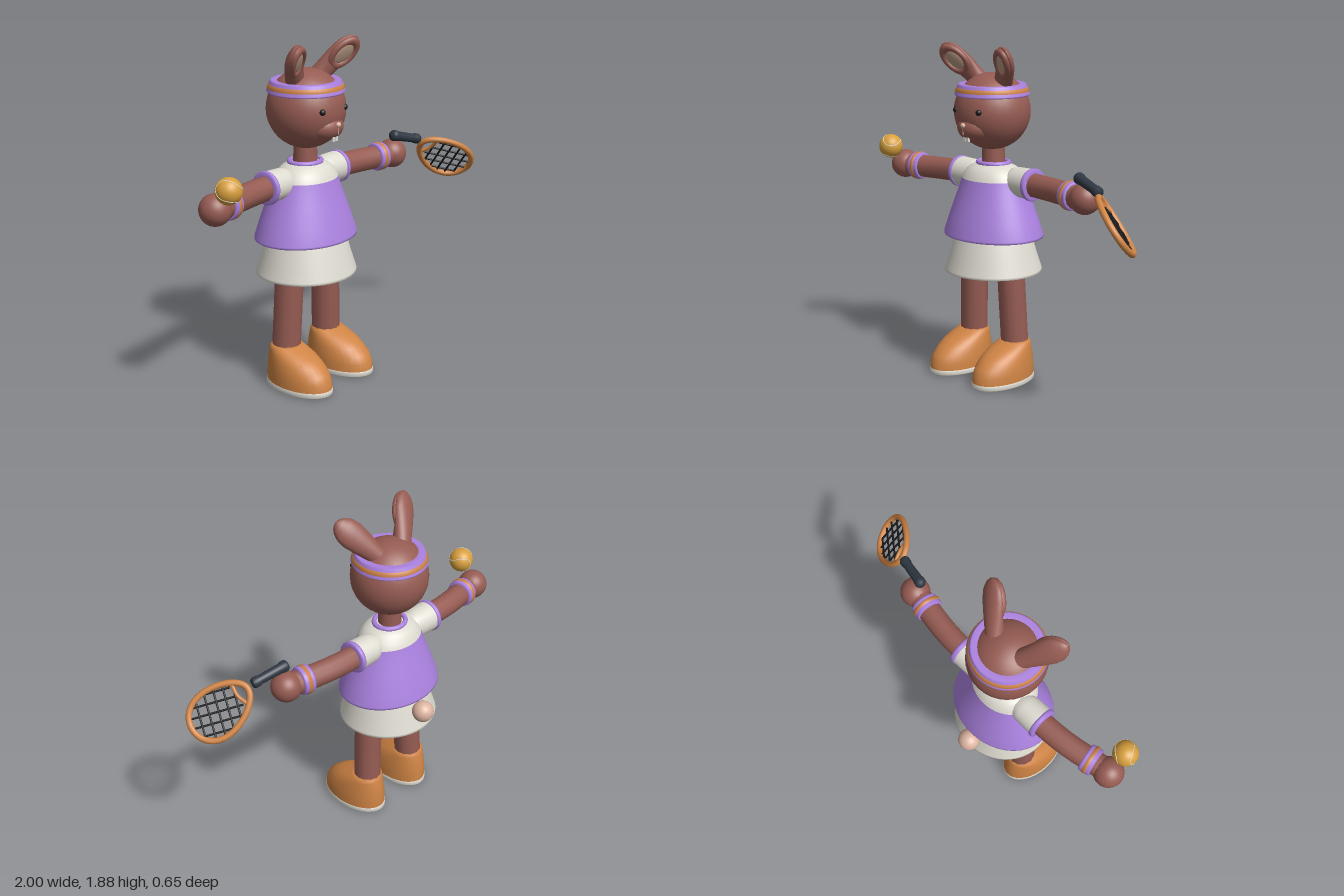
import * as THREE from 'three';

const V = (x, y, z) => new THREE.Vector3(x, y, z);
const mat = (name, color) => new THREE.MeshStandardMaterial({ name, color, side: THREE.DoubleSide });

export function createModel() {
  const brown = mat('brown fur', 0x965c53), purple = mat('purple cloth', 0xab82e0);
  const orange = mat('orange', 0xcf8445), white = mat('off white cloth', 0xdedbd1);
  const gold = mat('gold felt', 0xd8a03e), pink = mat('pale pink', 0xdcb5a1);
  const tan = mat('ear tan', 0xb89a82), slate = mat('slate grip', 0x2f3843), black = mat('black', 0x1b1b1d);

  const root = new THREE.Group();
  root.name = 'rabbitTennisPlayer';
  const body = new THREE.Group(); // the figure stands left of the middle
  body.name = 'rabbit';
  body.position.x = -0.2;
  root.add(body);

  const add = (parent, name, geo, m, p = [0, 0, 0], scale = [1, 1, 1]) => {
    const mesh = new THREE.Mesh(geo, m);
    mesh.name = name;
    mesh.position.set(...p);
    mesh.scale.set(...scale);
    parent.add(mesh);
    return mesh;
  };
  const group = (parent, name) => {
    const g = new THREE.Group();
    g.name = name;
    parent.add(g);
    return g;
  };
  const lathe = (pts) => new THREE.LatheGeometry(pts.map(([r, y]) => new THREE.Vector2(r, y)), 48);
  const ball = (r) => new THREE.SphereGeometry(r, 32, 20);
  const tube = (pts, r, closed = false, n = 48) =>
    new THREE.TubeGeometry(new THREE.CatmullRomCurve3(pts, closed), n, r, 12, closed);

  // Skin over a row of rings: [centre, axis a, axis b, optional axis b for the far half]
  const loft = (rings, n = 32) => {
    const pos = [], idx = [];
    rings.forEach(([c, a, b, b2 = b], i) => {
      for (let j = 0; j < n; j++) {
        const t = (j / n) * Math.PI * 2, s = Math.sin(t);
        pos.push(...c.clone().addScaledVector(a, Math.cos(t)).addScaledVector(s < 0 ? b2 : b, s).toArray());
        if (i) {
          const k = (j + 1) % n, p = (i - 1) * n, q = i * n;
          idx.push(p + j, q + j, p + k, p + k, q + j, q + k);
        }
      }
    });
    const g = new THREE.BufferGeometry();
    g.setAttribute('position', new THREE.Float32BufferAttribute(pos, 3));
    g.setIndex(idx);
    g.computeVertexNormals();
    return g;
  };

  // Shirt, yoke, collar and skirt
  const oval = [1, 1, 0.83];
  add(body, 'shirt', lathe([[0.285, 0.82], [0.295, 0.808], [0.305, 0.81], [0.305, 0.822], [0.278, 0.9],
    [0.24, 1.0], [0.208, 1.08], [0.192, 1.13]]), purple, [0, 0, 0.005], oval);
  add(body, 'yoke', lathe([[0.192, 1.13], [0.175, 1.165], [0.145, 1.195], [0.1, 1.215], [0.05, 1.22]]),
    white, [0, 0, 0.005], oval);
  const collar = add(body, 'collar', new THREE.TorusGeometry(0.09, 0.014, 12, 40), purple, [0, 1.217, 0.003], [1, 0.9, 1]);
  collar.rotation.x = Math.PI / 2;
  add(body, 'skirt', lathe([[0.262, 0.615], [0.272, 0.605], [0.282, 0.607], [0.28, 0.62], [0.25, 0.71],
    [0.222, 0.81], [0.2, 0.86], [0, 0.86]]), white, [0, 0, 0.007], [1, 1, 0.95]);
  add(body, 'tail', ball(0.061), pink, [0, 0.74, -0.267]);

  // Head and face
  add(body, 'neck', new THREE.CylinderGeometry(0.062, 0.066, 0.16, 32), brown, [0, 1.26, 0.003]);
  add(body, 'head', ball(0.212), brown, [0, 1.505, 0.01]);
  add(body, 'muzzle', ball(1), brown, [0, 1.425, 0.13], [0.11, 0.078, 0.1]);
  add(body, 'nose', ball(1), pink, [0, 1.445, 0.229], [0.016, 0.014, 0.012]);
  add(body, 'lipLine', new THREE.BoxGeometry(0.004, 0.04, 0.006), pink, [0, 1.415, 0.229]);
  add(body, 'headband', lathe([[0.175, 1.595], [0.203, 1.593], [0.208, 1.601], [0.189, 1.65],
    [0.182, 1.658], [0.14, 1.653]]), purple, [0, 0, 0.01]);
  add(body, 'headbandStripe', lathe([[0.198, 1.615], [0.205, 1.616], [0.197, 1.637], [0.19, 1.638]]), orange, [0, 0, 0.01]);

  for (const s of [-1, 1]) {
    const side = s > 0 ? 'left' : 'right';
    add(body, side + 'Eye', ball(0.017), black, [s * 0.09, 1.52, 0.196]);
    add(body, side + 'Tooth', new THREE.BoxGeometry(0.019, 0.026, 0.012), white, [s * 0.011, 1.368, 0.204]);

    // Ear: leans out and forward, with a rimmed pale inside
    const ear = group(body, side + 'Ear');
    const base = V(s * 0.08, 1.65, 0), span = V(s * 0.17, 0.212, 0.155), dir = span.clone().normalize();
    const front = V(0, 0, 1).addScaledVector(dir, -dir.z).normalize();
    const wide = dir.clone().cross(front);
    add(ear, 'earShell', loft([[0, 0.052, 0.048], [0.2, 0.056, 0.047], [0.45, 0.068, 0.046], [0.65, 0.074, 0.042],
      [0.8, 0.068, 0.036], [0.92, 0.046, 0.024], [0.98, 0.022, 0.012], [1, 0, 0]].map(([t, w, d]) =>
      [base.clone().addScaledVector(span, t), wide.clone().multiplyScalar(w),
        front.clone().multiplyScalar(d * (t < 0.3 ? 1 : 0.5)), front.clone().multiplyScalar(d)])), brown);
    const inside = group(ear, 'earInside');
    inside.position.copy(base).addScaledVector(span, 0.64).addScaledVector(front, 0.015);
    inside.quaternion.setFromRotationMatrix(new THREE.Matrix4().makeBasis(wide, dir, front));
    if (wide.clone().cross(dir).dot(front) < 0)
      inside.quaternion.setFromRotationMatrix(new THREE.Matrix4().makeBasis(wide.clone().negate(), dir, front));
    add(inside, 'earRim', new THREE.TorusGeometry(1, 0.3, 12, 40), brown, [0, 0, 0], [0.056, 0.083, 0.06]);
    add(inside, 'earLining', ball(1), tan, [0, 0, 0.003], [0.046, 0.072, 0.012]);

    // Arm, sleeve, wristband and hand
    const arm = group(body, side + 'Arm');
    add(arm, 'armTube', tube([V(s * 0.12, 1.13, -0.015), V(s * 0.3, 1.125, -0.015), V(s * 0.45, 1.122, -0.005),
      V(s * 0.6, 1.12, 0.02), V(s * 0.7, 1.12, 0.04)], 0.066), brown);
    add(arm, 'hand', ball(0.083), brown, [s * 0.72, 1.122, 0.04]);
    const ringed = (name, pts, m, x, y, z, turn) => {
      const g = group(arm, name);
      g.position.set(s * x, y, z);
      g.rotation.y = -s * turn;
      add(g, name + 'Cloth', lathe(pts), m).rotation.z = -s * Math.PI / 2;
    };
    ringed('sleeve', [[0, -0.02], [0.05, -0.01], [0.072, 0.015], [0.082, 0.06], [0.085, 0.165]], white, 0.12, 1.127, -0.015, 0);
    ringed('sleeveCuff', [[0.066, 0], [0.086, 0], [0.09, 0.007], [0.09, 0.02], [0.086, 0.028], [0.064, 0.028]],
      purple, 0.277, 1.126, -0.015, 0);
    ringed('wristband', [[0.06, 0], [0.074, 0], [0.078, 0.008], [0.078, 0.057], [0.074, 0.065], [0.06, 0.065]],
      purple, 0.58, 1.121, 0.017, 0.18);
    ringed('wristbandStripe', [[0.07, 0.022], [0.081, 0.022], [0.081, 0.043], [0.07, 0.043]], orange, 0.58, 1.121, 0.017, 0.18);

    // Leg and shoe
    add(body, side + 'Leg', tube([V(s * 0.14, 0.84, 0.02), V(s * 0.15, 0.6, 0.014), V(s * 0.17, 0.15, 0.002)], 0.079), brown);
    const shoe = group(body, side + 'Shoe');
    shoe.position.x = s * 0.17;
    shoe.rotation.y = s * 0.03;
    const layer = ([y, back, tip, w]) => [V(0, y, (back + tip) / 2), V(w, 0, 0), V(0, 0, (tip - back) / 2)];
    add(shoe, 'shoeUpper', loft([[0.03, -0.108, 0.31, 0.129], [0.07, -0.108, 0.305, 0.129], [0.11, -0.104, 0.285, 0.125],
      [0.15, -0.098, 0.242, 0.118], [0.18, -0.092, 0.195, 0.11], [0.205, -0.086, 0.135, 0.1],
      [0.222, -0.08, 0.093, 0.091], [0.229, -0.07, 0.08, 0.08], [0.229, 0, 0.004, 0.002]].map(layer)), orange);
    add(shoe, 'sole', loft([[0, 0.1, 0.101, 0.001], [0, -0.105, 0.306, 0.126], [0.006, -0.112, 0.314, 0.132],
      [0.026, -0.112, 0.314, 0.132], [0.033, -0.106, 0.308, 0.127]].map(layer)), white);
  }

  // Tennis ball with its seam
  const tennis = group(root, 'tennisBall');
  tennis.position.set(-0.928, 1.238, 0.143);
  add(tennis, 'ballFelt', ball(0.069), gold);
  const seam = [];
  for (let i = 0; i < 32; i++) {
    const t = (i / 32) * Math.PI * 2;
    seam.push(V(0.75 * Math.cos(t) + 0.25 * Math.cos(3 * t), 0.75 * Math.sin(t) - 0.25 * Math.sin(3 * t),
      0.866 * Math.sin(2 * t)).setLength(0.0685));
  }
  add(tennis, 'ballSeam', tube(seam, 0.0025, true, 96), white).rotation.set(0.4, 0.5, 0.3);

  // Racket grip
  const gripStart = V(0.485, 1.236, 0.062), gripEnd = V(0.685, 1.185, 0.112);
  const grip = add(root, 'racketGrip', lathe([[0, -0.005], [0.022, 0], [0.031, 0.012], [0.031, 0.03], [0.027, 0.05],
    [0.025, 0.165], [0.029, 0.175], [0.029, 0.2], [0.022, 0.212], [0, 0.212]]), slate, gripStart.toArray());
  grip.quaternion.setFromUnitVectors(V(0, 1, 0), gripEnd.clone().sub(gripStart).normalize());

  // Racket head: local x runs to the tip, local y across
  const racket = group(root, 'racketHead');
  racket.position.set(0.845, 1.063, 0.182);
  const along = V(0.77, -0.56, 0.3).normalize();
  const across = V(0.12, 0.6, 0.8).addScaledVector(along, -along.dot(V(0.12, 0.6, 0.8))).normalize();
  racket.quaternion.setFromRotationMatrix(new THREE.Matrix4().makeBasis(along, across, along.clone().cross(across)));
  const half = (x) => 0.125 * Math.sqrt(Math.max(0, 1 - (x / 0.18) ** 2)) * (1 + 1.1 * x); // egg outline
  const rim = [];
  for (let i = 0; i < 32; i++) {
    const t = (i / 32) * Math.PI * 2, x = 0.18 * Math.cos(t);
    rim.push(V(x, Math.sign(Math.sin(t)) * half(x), 0));
  }
  add(racket, 'racketFrame', tube(rim, 0.017, true, 80), orange);
  add(racket, 'throatBridge', tube([V(-0.13, -0.07, 0), V(-0.115, 0, 0), V(-0.13, 0.07, 0)], 0.01), orange);

  // Strings: two crossed sets, each clipped to the frame
  const bridge = -0.112;
  for (const angle of [0.42, 0.42 + Math.PI / 2]) {
    const d = V(Math.cos(angle), Math.sin(angle), 0), n = V(-d.y, d.x, 0);
    for (let k = -2; k <= 2; k++) {
      const inside = [];
      for (let t = -0.2; t <= 0.2; t += 0.004) {
        const p = d.clone().multiplyScalar(t).addScaledVector(n, k * 0.052).add(V(0.012, 0, 0));
        if (p.x > bridge && Math.abs(p.y) < half(p.x)) inside.push(p);
      }
      if (inside.length > 3)
        add(racket, 'string', tube([inside[0], inside[inside.length - 1]], 0.0055, false, 1), black);
    }
  }
  return root;
}
